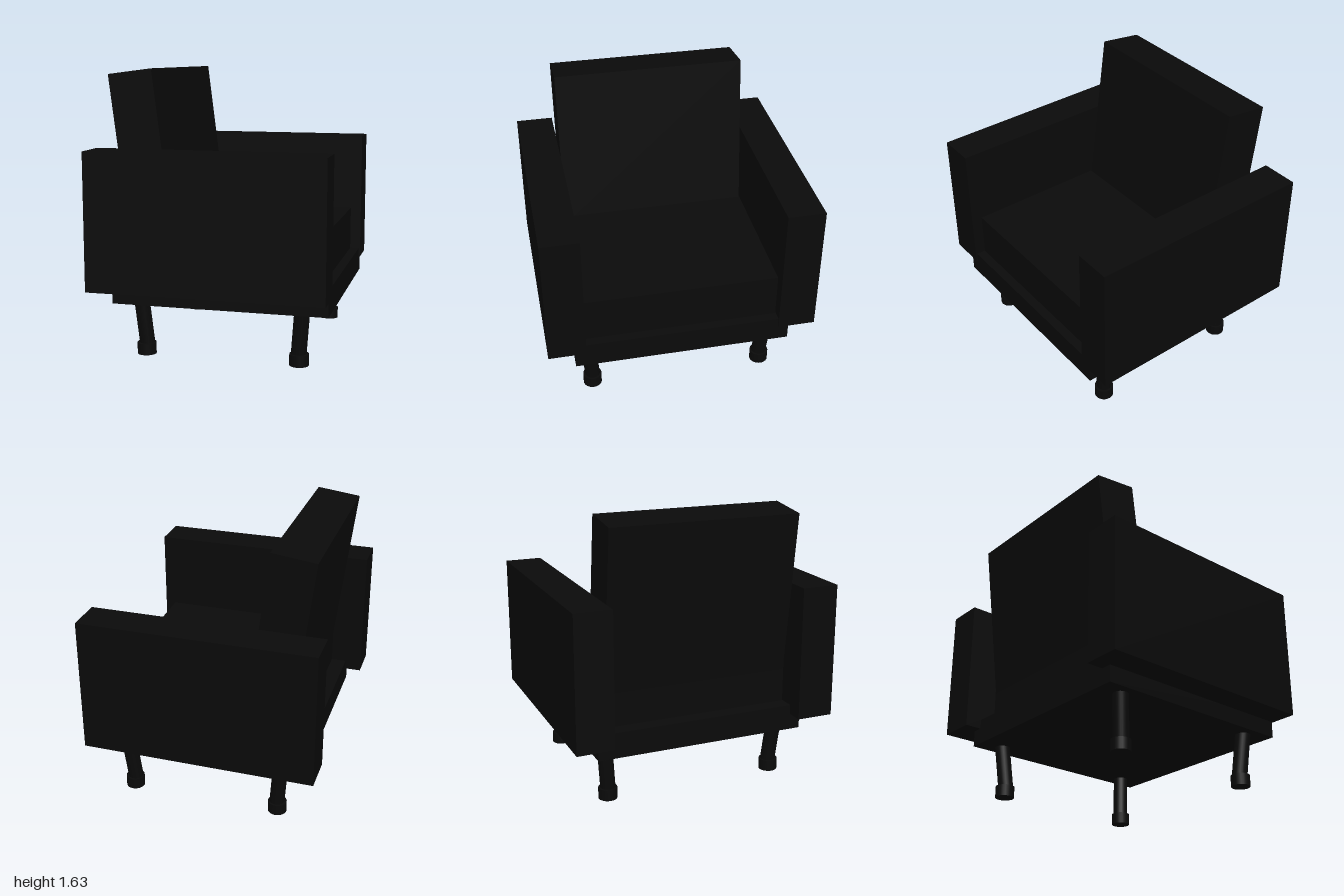
import * as THREE from 'three';

export function createModel() {
  const model = new THREE.Group();
  const chair = new THREE.Group();
  chair.name = 'armchair';
  chair.rotation.y = 0.439; // the chair stands turned towards its left
  model.add(chair);

  const material = new THREE.MeshStandardMaterial({ color: 0x0a0a0a });

  const add = (name, geometry) => {
    const mesh = new THREE.Mesh(geometry, material);
    mesh.name = name;
    chair.add(mesh);
    return mesh;
  };

  // Box given by its half width and its y and z ranges, at an x centre
  const block = (name, halfWidth, [y0, y1], [z0, z1], x = 0) => {
    const mesh = add(name, new THREE.BoxGeometry(halfWidth * 2, y1 - y0, z1 - z0));
    mesh.position.set(x, (y0 + y1) / 2, (z0 + z1) / 2);
    return mesh;
  };

  block('baseFrame', 0.63, [0.31, 0.46], [-0.575, 0.665]);
  block('seatCushion', 0.563, [0.46, 0.725], [-0.485, 0.61]);

  // Backrest, leaning back from its top front edge
  const height = 0.967, depth = 0.256;
  const backGeometry = new THREE.BoxGeometry(1.118, height, depth);
  backGeometry.translate(0, -height / 2, -depth / 2);
  const backrest = add('backrest', backGeometry);
  backrest.position.set(0, 1.635, -0.351);
  backrest.rotation.x = -0.126;

  // Slanted round leg between two points
  const up = new THREE.Vector3(0, 1, 0);
  const leg = (name, bottom, top) => {
    const axis = top.clone().sub(bottom);
    const mesh = add(name, new THREE.CylinderGeometry(0.044, 0.044, axis.length(), 24));
    mesh.position.copy(bottom).add(top).multiplyScalar(0.5);
    mesh.quaternion.setFromUnitVectors(up, axis.normalize());
  };

  for (const [side, s] of [['left', 1], ['right', -1]]) {
    block(side + 'Armrest', 0.109, [0.405, 1.19], [-0.674, 0.674], s * 0.676);

    // Legs lean inwards towards the floor and end in a wider foot
    for (const [end, z, lean] of [['Front', 0.506, -0.028], ['Back', -0.43, 0.028]]) {
      leg(side + end + 'Leg',
        new THREE.Vector3(s * 0.514, 0.006, z + lean),
        new THREE.Vector3(s * 0.543, 0.33, z));
      const foot = add(side + end + 'Foot', new THREE.CylinderGeometry(0.055, 0.055, 0.066, 24));
      foot.position.set(s * 0.521, 0.033, z + lean * 0.72);
    }
  }

  return model;
}
